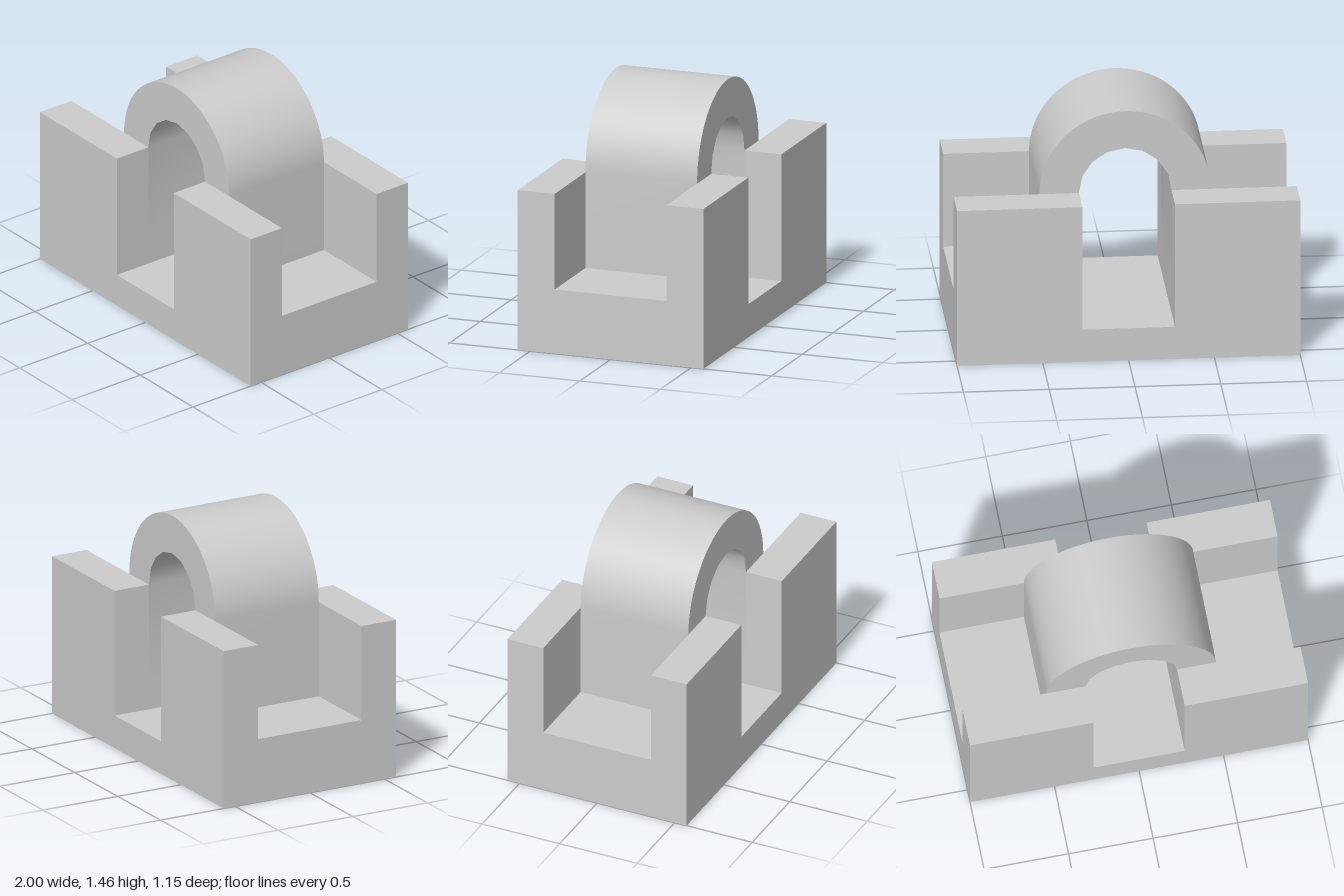
import * as THREE from 'three';
import { toCreasedNormals } from 'three/addons/utils/BufferGeometryUtils.js';

const HALF_WIDTH = 1, HALF_DEPTH = 0.577, SADDLE_HALF_DEPTH = 0.347;
const TOP = 0.963, LEDGE = 0.387, CHANNEL_FLOOR = 0.2;
const OUTER_R = 0.5, INNER_R = 0.27;

const material = new THREE.MeshStandardMaterial({ color: 0xcccccc });

// Points on a half circle standing on the block's top, from angle a to b
function arc(radius, a, b, segments) {
  return Array.from({ length: segments + 1 }, (_, i) => {
    const t = a + ((b - a) * i) / segments;
    return new THREE.Vector2(radius * Math.cos(t), TOP + radius * Math.sin(t));
  });
}

// Extrudes a front profile between two z positions
function slab(name, points, z0, z1) {
  const geometry = new THREE.ExtrudeGeometry(new THREE.Shape(points), {
    depth: z1 - z0, bevelEnabled: false,
  });
  geometry.translate(0, 0, z0);
  const mesh = new THREE.Mesh(toCreasedNormals(geometry, 0.5), material);
  mesh.name = name;
  return mesh;
}

export function createModel() {
  const group = new THREE.Group();
  group.name = 'archedBlock';
  const v = (x, y) => new THREE.Vector2(x, y);

  // Front and back walls, each cut by the central channel
  const wall = [
    v(-HALF_WIDTH, 0), v(HALF_WIDTH, 0), v(HALF_WIDTH, TOP), v(INNER_R, TOP),
    v(INNER_R, CHANNEL_FLOOR), v(-INNER_R, CHANNEL_FLOOR), v(-INNER_R, TOP), v(-HALF_WIDTH, TOP),
  ];
  group.add(slab('frontWall', wall, SADDLE_HALF_DEPTH, HALF_DEPTH));
  group.add(slab('backWall', wall, -HALF_DEPTH, -SADDLE_HALF_DEPTH));

  // Middle base with low side ledges
  const base = [
    v(-HALF_WIDTH, 0), v(HALF_WIDTH, 0), v(HALF_WIDTH, LEDGE), v(INNER_R, LEDGE),
    v(INNER_R, CHANNEL_FLOOR), v(-INNER_R, CHANNEL_FLOOR), v(-INNER_R, LEDGE), v(-HALF_WIDTH, LEDGE),
  ];
  group.add(slab('middleBase', base, -SADDLE_HALF_DEPTH, SADDLE_HALF_DEPTH));

  // Arch on two legs: smooth outside, eight-sided inside
  const arch = [
    v(OUTER_R, LEDGE), ...arc(OUTER_R, 0, Math.PI, 64), v(-OUTER_R, LEDGE),
    v(-INNER_R, LEDGE), ...arc(INNER_R, Math.PI, 0, 8), v(INNER_R, LEDGE),
  ];
  group.add(slab('arch', arch, -SADDLE_HALF_DEPTH, SADDLE_HALF_DEPTH));

  return group;
}
